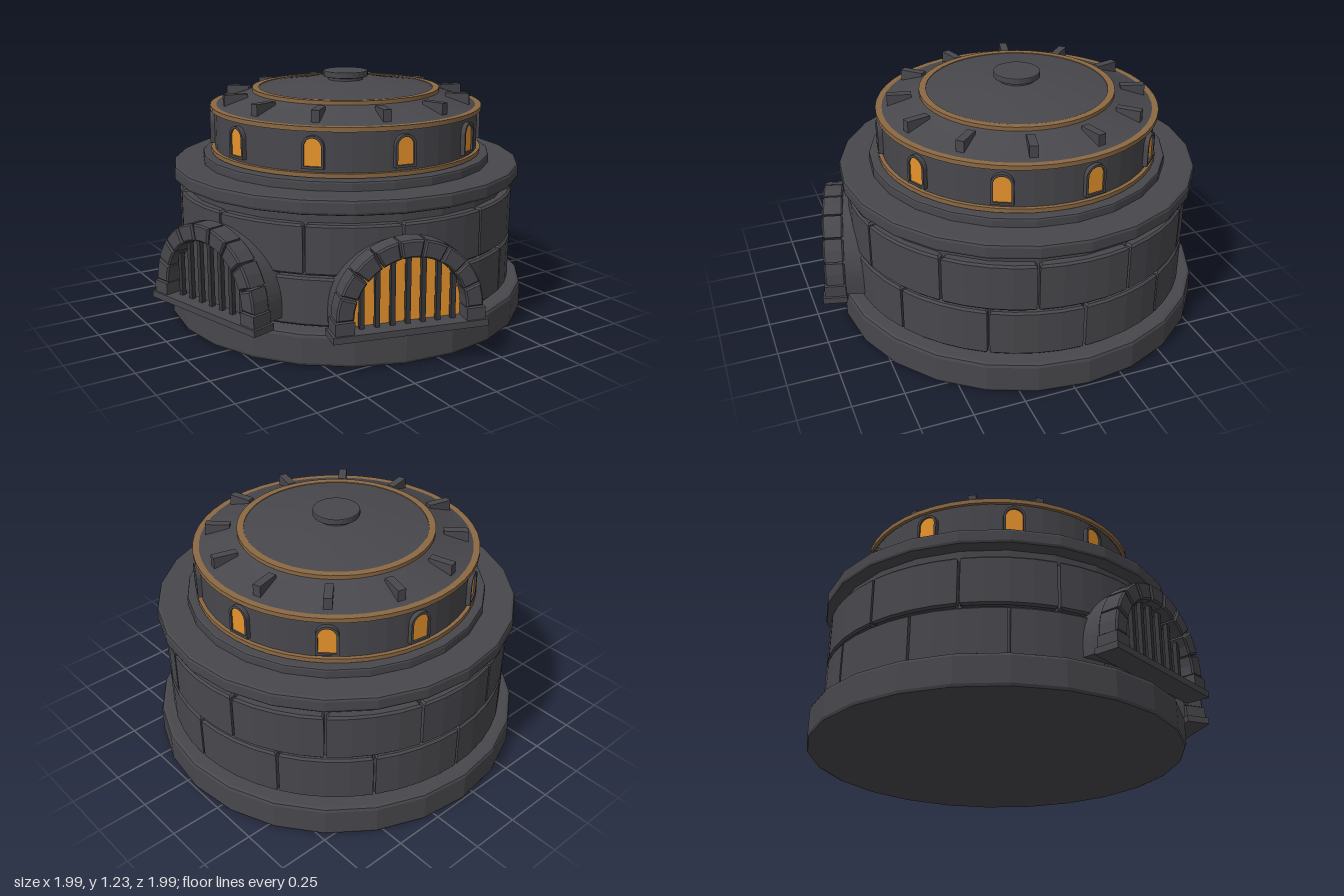
import * as THREE from 'three';
import { toCreasedNormals } from 'three/addons/utils/BufferGeometryUtils.js';

const D = Math.PI / 180;
const stone = new THREE.MeshStandardMaterial({ color: 0x48474c });
stone.name = 'dark stone';
const iron = new THREE.MeshStandardMaterial({ color: 0x38383c });
iron.name = 'iron';
const bronze = new THREE.MeshStandardMaterial({ color: 0x8a6843 });
bronze.name = 'bronze trim';
const glow = new THREE.MeshStandardMaterial({ color: 0xe8942c });
glow.name = 'amber glow';

function add(parent, name, geometry, material, x = 0, y = 0, z = 0) {
  const mesh = new THREE.Mesh(geometry, material);
  mesh.name = name;
  mesh.position.set(x, y, z);
  parent.add(mesh);
  return mesh;
}

// Turned solid from [radius, height] pairs, listed bottom to top
function turned(points, sides, crease) {
  const lathe = new THREE.LatheGeometry(points.map(p => new THREE.Vector2(...p)), sides);
  return toCreasedNormals(lathe, crease * D);
}

// Round slab with chamfered rims
function slab(r, y0, y1, b, sides = 24) {
  return turned([[0, y0], [r - b, y0], [r - b * 0.3, y0 + b * 0.3], [r, y0 + b],
    [r, y1 - b], [r - b * 0.3, y1 - b * 0.3], [r - b, y1], [0, y1]], sides, 5);
}

// Segment of a ring in the XY plane, extruded along +z with a small bevel
function sector(r0, r1, a0, a1, depth, segs, bevel) {
  const pts = [];
  for (let i = 0; i <= segs; i++) {
    const a = (a0 + (a1 - a0) * i / segs) * D;
    pts.push(new THREE.Vector2(r1 * Math.cos(a), r1 * Math.sin(a)));
  }
  for (let i = segs; i >= 0; i--) {
    const a = (a0 + (a1 - a0) * i / segs) * D;
    pts.push(new THREE.Vector2(r0 * Math.cos(a), r0 * Math.sin(a)));
  }
  const g = new THREE.ExtrudeGeometry(new THREE.Shape(pts), {
    depth: depth - 2 * bevel, bevelEnabled: true, bevelSize: bevel,
    bevelThickness: bevel, bevelOffset: -bevel, bevelSegments: 1,
  });
  return g.translate(0, 0, bevel);
}

// Round-headed outline: straight sides from y0 up to the spring line
function archPath(half, y0, spring, path = new THREE.Shape()) {
  path.moveTo(-half, y0);
  path.lineTo(half, y0);
  path.lineTo(half, spring);
  path.absarc(0, spring, half, 0, Math.PI, false);
  path.lineTo(-half, y0);
  return path;
}
const extrude = (shape, depth) =>
  new THREE.ExtrudeGeometry(shape, { depth, bevelEnabled: false, curveSegments: 16 });

function makeGate(name, panelMaterial) {
  const gate = new THREE.Group();
  gate.name = name;
  const spring = 0.265;
  add(gate, 'gateSill', new THREE.BoxGeometry(0.74, 0.032, 0.12), stone, 0, 0.191, 0.94);
  add(gate, 'gateBacking', extrude(archPath(0.335, 0.2, spring), 0.13), stone, 0, 0, 0.765);
  add(gate, 'gatePanel', extrude(archPath(0.275, 0.207, spring), 0.006), panelMaterial, 0, 0, 0.896);

  // Arch stones and the jamb stones under them
  for (let i = 0; i < 9; i++) {
    const v = sector(0.268, 0.35, i * 20 + 0.7, i * 20 + 19.3, 0.1, 2, 0.008);
    add(gate, 'archStone', v, stone, 0, spring, 0.885);
  }
  for (const s of [-1, 1])
    add(gate, 'jambStone', new THREE.BoxGeometry(0.09, 0.06, 0.105), stone, s * 0.312, 0.235, 0.9375);

  // Bars cut to the curve of the arch
  for (let i = -3; i <= 3; i++) {
    const x = i * 0.073;
    const top = spring + Math.sqrt(0.27 ** 2 - x * x);
    add(gate, 'gateBar', new THREE.BoxGeometry(0.022, top - 0.2, 0.022), iron, x, (top + 0.2) / 2, 0.93);
  }
  return gate;
}

export function createModel() {
  const model = new THREE.Group();
  model.name = 'roundKeep';
  const body = new THREE.Group();
  body.name = 'body';
  body.position.set(0.07, 0, -0.07);
  model.add(body);

  // Plinth, wall core and cornice
  add(body, 'plinth', slab(0.93, 0, 0.16, 0.018), stone);
  add(body, 'wallCore', slab(0.825, 0.15, 0.71, 0.005), stone);
  add(body, 'cornice', slab(0.893, 0.705, 0.78, 0.015), stone);
  add(body, 'upperStep', slab(0.742, 0.77, 0.825, 0.01), stone);

  // Two staggered courses of wall blocks
  [[0.17, 0.405, 0], [0.415, 0.655, 15]].forEach(([y0, y1, start]) => {
    for (let i = 0; i < 12; i++) {
      const a = start + i * 30;
      const g = sector(0.78, 0.863, a + 0.4, a + 29.6, y1 - y0, 4, 0.01);
      add(body, 'wallBlock', g.rotateX(-Math.PI / 2), stone, 0, y0);
    }
  });

  // Drum, roof and cap
  add(body, 'drum', slab(0.677, 0.82, 1.045, 0.004, 48), stone);
  add(body, 'roof', turned([[0.68, 1.04], [0.68, 1.06], [0.47, 1.13], [0.45, 1.143],
    [0.22, 1.178], [0, 1.184]], 48, 20), stone);
  add(body, 'capNeck', slab(0.09, 1.17, 1.2, 0.003, 24), stone);
  add(body, 'cap', slab(0.115, 1.197, 1.228, 0.005, 24), stone);

  // Bronze bands
  const band = (name, r0, r1, y0, y1) => add(body, name,
    turned([[r0, y0], [r1, y0], [r1, y1], [r0, y1], [r0, y0]], 48, 30), bronze);
  band('lowerBand', 0.65, 0.696, 0.829, 0.85);
  band('eaveBand', 0.662, 0.696, 1.043, 1.065);
  band('roofBand', 0.446, 0.48, 1.128, 1.147);

  // Roof fins
  for (let i = 0; i < 12; i++) {
    const fin = new THREE.BoxGeometry(0.04, 0.075, 0.12).translate(0, 1.093, 0.577);
    add(body, 'roofFin', fin, stone).rotation.y = (15 + i * 30) * D;
  }

  // Arched windows around the drum
  const frameShape = archPath(0.053, 0.868, 0.97);
  frameShape.holes.push(archPath(0.041, 0.88, 0.97, new THREE.Path()));
  const frame = extrude(frameShape, 0.035);
  const pane = extrude(archPath(0.043, 0.878, 0.97), 0.008);
  for (let i = 0; i < 10; i++) {
    const win = new THREE.Group();
    win.name = 'window';
    win.rotation.y = (27 + i * 36) * D;
    add(win, 'windowFrame', frame, stone, 0, 0, 0.662);
    add(win, 'windowPane', pane, glow, 0, 0, 0.68);
    body.add(win);
  }

  // Lit front gate and unlit side gate
  const front = makeGate('frontGate', glow);
  front.rotation.y = -15 * D;
  const side = makeGate('sideGate', stone);
  side.rotation.y = -75 * D;
  body.add(front, side);
  return model;
}
